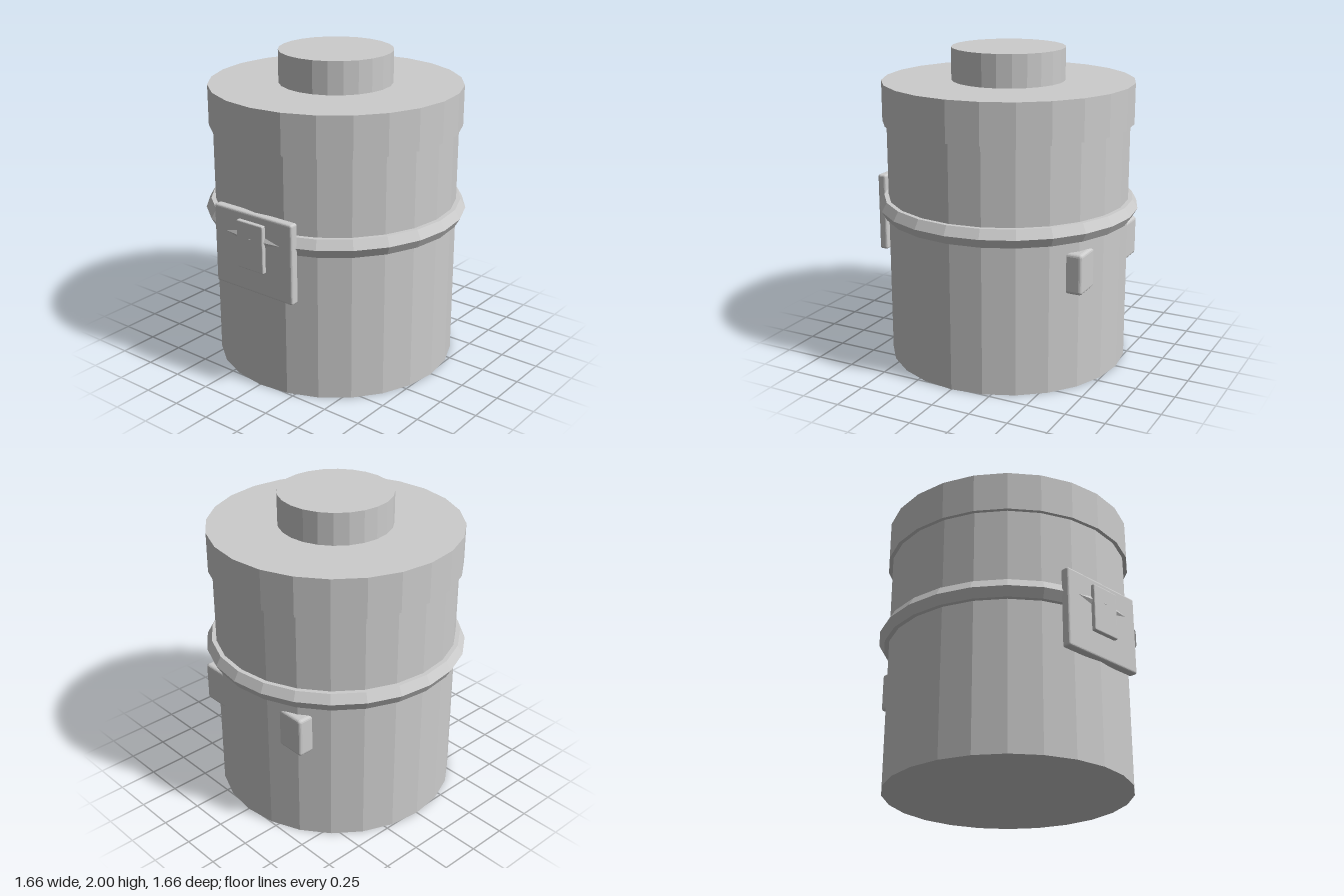
import * as THREE from 'three';
import { RoundedBoxGeometry } from 'three/addons/geometries/RoundedBoxGeometry.js';

const SIDES = 24;

export function createModel() {
  const group = new THREE.Group();
  const grey = new THREE.MeshStandardMaterial({ color: 0xcccccc, flatShading: true });
  grey.name = 'plain grey';

  const add = (name, geometry, x, y, z) => {
    const mesh = new THREE.Mesh(geometry, grey);
    mesh.name = name;
    mesh.position.set(x, y, z);
    group.add(mesh);
    return mesh;
  };
  // Faceted drum standing between two heights
  const drum = (name, radius, y0, y1) =>
    add(name, new THREE.CylinderGeometry(radius, radius, y1 - y0, SIDES), 0, (y0 + y1) / 2, 0);
  // Block with softened edges, given by its limits
  const block = (name, [x0, x1], [y0, y1], [z0, z1], bevel) =>
    add(name, new RoundedBoxGeometry(x1 - x0, y1 - y0, z1 - z0, 2, bevel),
      (x0 + x1) / 2, (y0 + y1) / 2, (z0 + z1) / 2);

  // Canister
  drum('body', 0.77, 0, 1.55);
  drum('lid', 0.795, 1.54, 1.795);
  drum('cap', 0.358, 1.78, 2);

  // Hexagonal band around the middle
  const band = new THREE.TorusGeometry(0.765, 0.066, 6, SIDES);
  band.rotateX(Math.PI / 2);
  add('band', band, 0, 1, 0);

  // Front latch
  block('latchPlate', [-0.303, 0.303], [0.645, 1.152], [0.745, 0.803], 0.014);
  block('latchTab', [-0.102, 0.102], [0.8, 1.103], [0.79, 0.829], 0.008);

  // Strap brackets at the back
  for (const [side, name] of [[1, 'leftBracket'], [-1, 'rightBracket']]) {
    const xs = [0.25 * side, 0.455 * side].sort((a, b) => a - b);
    block(name, xs, [0.62, 0.875], [-0.712, -0.56], 0.02);
  }
  return group;
}
